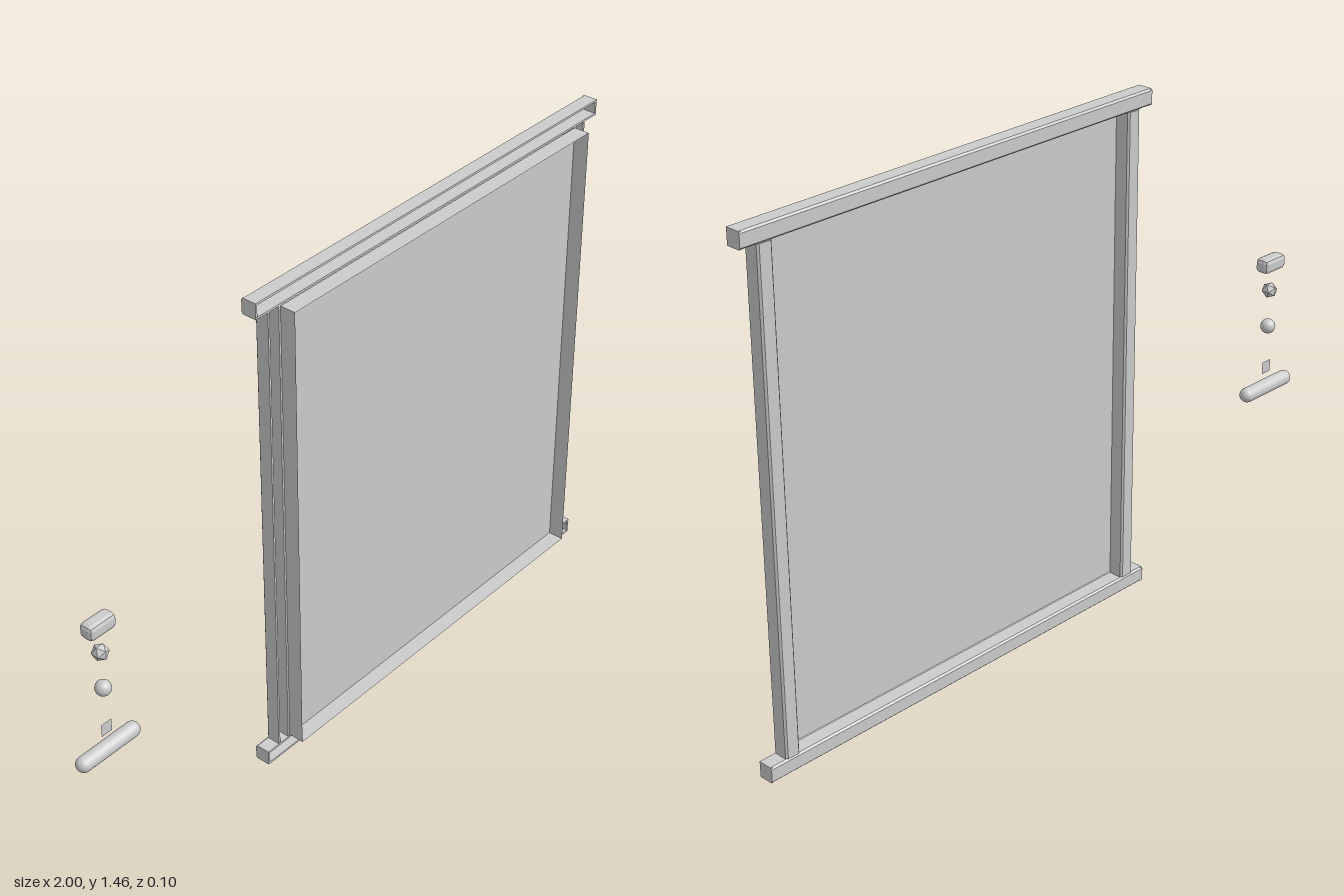
import * as THREE from 'three';
import { RoundedBoxGeometry } from 'three/addons/geometries/RoundedBoxGeometry.js';

const WALL = 0.006;

// Upright U-channel, open towards +z, with its two rear edges chamfered
function channelGeometry(width, depth, length) {
  const w = width / 2, c = 0.005;
  const points = [
    [-w, depth], [-w, c], [-w + c, 0], [w - c, 0], [w, c], [w, depth],
    [w - WALL, depth], [w - WALL, WALL], [-w + WALL, WALL], [-w + WALL, depth],
  ].map(([x, y]) => new THREE.Vector2(x, y));
  const geometry = new THREE.ExtrudeGeometry(new THREE.Shape(points), { depth: length, bevelEnabled: false });
  return geometry.translate(0, 0, -length / 2).rotateX(Math.PI / 2);
}

export function createModel() {
  const model = new THREE.Group();
  const flat = new THREE.MeshStandardMaterial({ color: 0xcccccc, flatShading: true });
  const smooth = new THREE.MeshStandardMaterial({ color: 0xcccccc });
  const sheet = new THREE.MeshStandardMaterial({ color: 0xcccccc, side: THREE.DoubleSide });

  const add = (name, geometry, material, x, y, z, parent = model) => {
    const mesh = new THREE.Mesh(geometry, material);
    mesh.name = name;
    mesh.position.set(x, y, z);
    parent.add(mesh);
    return mesh;
  };

  // Shallow tray, open to the front: a back sheet with four thin walls
  const trayW = 1.178, trayH = 1.36, trayD = 0.046;
  const tray = new THREE.Group();
  tray.name = 'tray';
  tray.position.set(0.316, 0.728, 0.004);
  model.add(tray);
  add('trayBack', new THREE.PlaneGeometry(trayW, trayH), sheet, 0, 0, 0, tray);
  for (const side of [-1, 1]) {
    add('traySideWall', new THREE.PlaneGeometry(trayD, trayH).rotateY(Math.PI / 2), sheet,
      side * trayW / 2, 0, trayD / 2, tray);
    add('trayEndWall', new THREE.PlaneGeometry(trayW, trayD).rotateX(Math.PI / 2), sheet,
      0, side * trayH / 2, trayD / 2, tray);
  }

  // Top and bottom rails: channels closed by end caps
  for (const [name, y] of [['bottomRail', 0.0225], ['topRail', 1.4325]]) {
    const rail = new THREE.Group();
    rail.name = name;
    rail.position.set(0.32, y, -0.04);
    model.add(rail);
    add(name + 'Channel', channelGeometry(0.045, 0.045, 1.36).rotateZ(Math.PI / 2), flat, 0, 0, 0, rail);
    for (const side of [-1, 1]) {
      add(name + 'EndCap', new THREE.BoxGeometry(WALL, 0.044, 0.042), flat, side * 0.677, 0, 0.0235, rail);
    }
  }

  // Side posts between the rails
  for (const [name, x] of [['rightPost', -0.295], ['leftPost', 0.928]]) {
    add(name, channelGeometry(0.044, 0.043, 1.365), flat, x, 0.7275, -0.039);
  }

  // Loose small parts lined up beside the frame
  const px = -0.896, pz = -0.03;
  add('chamferedBlock', new RoundedBoxGeometry(0.087, 0.043, 0.043, 1, 0.012), flat, px, 0.808, pz);
  add('facetedBead', new THREE.IcosahedronGeometry(0.023), flat, px, 0.724, pz);
  add('roundBead', new THREE.SphereGeometry(0.0215, 24, 16), smooth, px, 0.612, pz);
  add('smallPlate', new THREE.PlaneGeometry(0.035, 0.037), sheet, px, 0.483, pz);
  add('roundedPin', new THREE.CapsuleGeometry(0.0215, 0.165, 8, 24).rotateZ(Math.PI / 2), smooth, px, 0.421, pz);

  return model;
}
